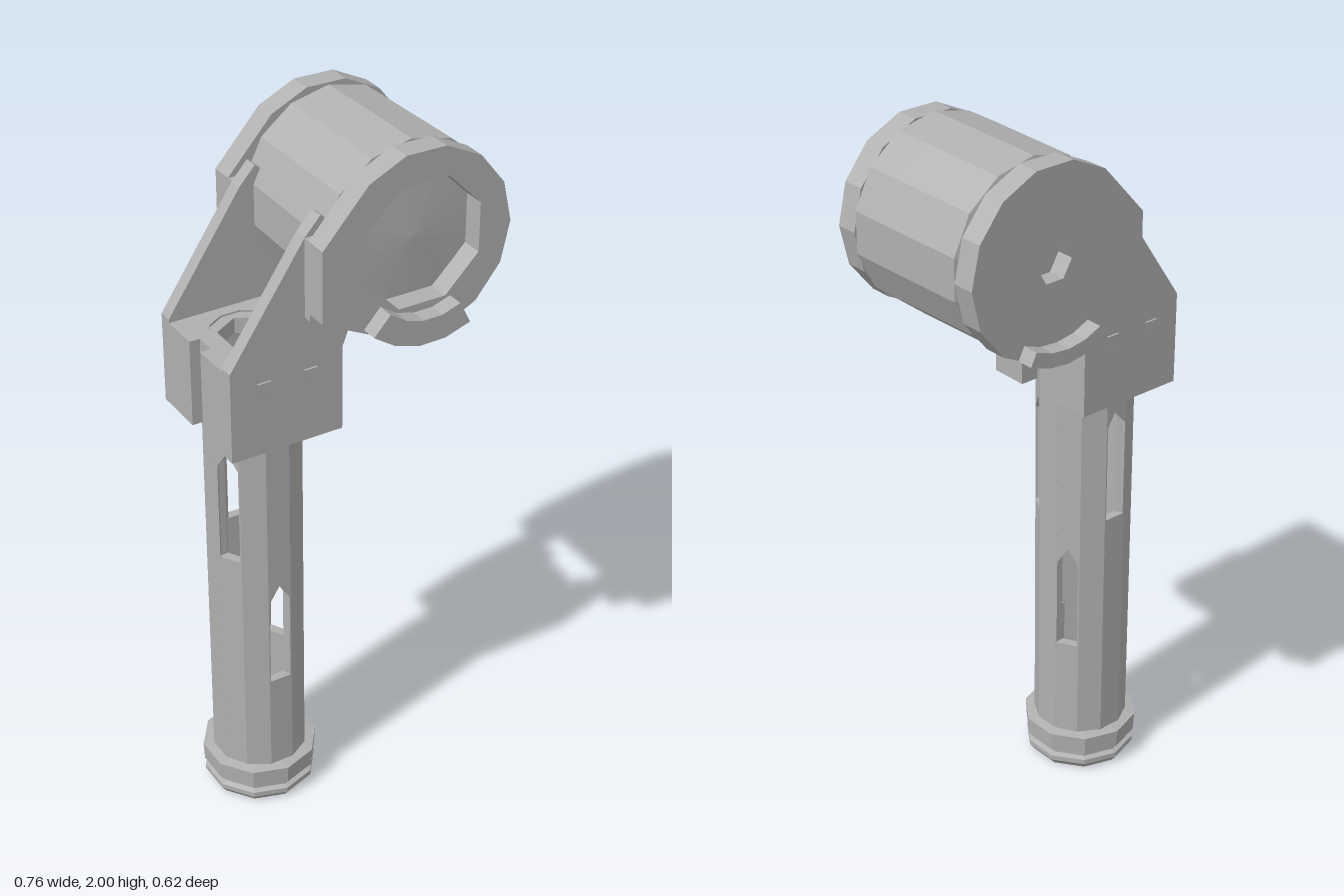
import * as THREE from 'three';

export function createModel() {
  const model = new THREE.Group();
  const grey = new THREE.MeshStandardMaterial({ color: 0xb0b0b0, flatShading: true });
  grey.name = 'plain grey';

  const add = (name, geometry, parent = model) => {
    const mesh = new THREE.Mesh(geometry, grey);
    mesh.name = name;
    parent.add(mesh);
    return mesh;
  };
  const pts = (list) => list.map(([x, y]) => new THREE.Vector2(x, y));
  // Points on an arc, angles in degrees
  const arc = (cx, cy, r, a0, a1, n) => Array.from({ length: n + 1 }, (_, i) => {
    const a = THREE.MathUtils.degToRad(a0 + (a1 - a0) * i / n);
    return [cx + r * Math.cos(a), cy + r * Math.sin(a)];
  });
  const slab = (outline, z0, z1, hole) => {
    const shape = new THREE.Shape(pts(outline));
    if (hole) shape.holes.push(new THREE.Path(pts(hole)));
    return new THREE.ExtrudeGeometry(shape, { depth: z1 - z0, bevelEnabled: false }).translate(0, 0, z0);
  };

  const TX = -0.22;            // handle axis
  const DX = 0.125, DY = 1.74; // drum axis
  const R = 0.26;

  // Hollow handle: twelve wall panels, every second one slotted alternately low and high
  const handle = new THREE.Group();
  handle.name = 'handle';
  handle.position.x = TX;
  model.add(handle);
  for (let i = 0; i < 12; i++) {
    const w = 0.0349;
    let slot = null;
    if (i % 2 === 0) {
      const [a, b] = i % 4 === 0 ? [0.42, 0.74] : [0.83, 1.17];
      slot = [[-0.031, a], [-0.031, b - 0.05], [0, b], [0.031, b - 0.05], [0.031, a]];
    }
    const panel = add('handlePanel', slab([[-w, 0.1], [w, 0.1], [w, 1.47], [-w, 1.47]], 0.105, 0.13, slot), handle);
    panel.rotation.y = i * Math.PI / 6;
  }

  // Rings turned around the handle axis
  const turned = (name, profile, sides) => add(name, new THREE.LatheGeometry(pts(profile), sides), handle);
  turned('handleTopRing', [[0.085, 1.42], [0.12, 1.42], [0.12, 1.465], [0.085, 1.465], [0.085, 1.42]], 6);
  turned('foot', [[0.035, 0], [0.145, 0], [0.16, 0.02], [0.16, 0.035], [0.145, 0.04], [0.145, 0.05],
    [0.162, 0.06], [0.165, 0.115], [0.135, 0.12], [0.035, 0.12], [0.035, 0]], 10);

  for (const s of [1, -1]) {
    const side = s > 0 ? 'front' : 'back';
    const span = (a, b) => (s > 0 ? [a, b] : [-b, -a]);

    // Clamp half wrapping the handle
    const half = [[-0.055, 0.07], [-0.055, 0.18], [-0.38, 0.18], [-0.38, 0.03],
      ...arc(TX, 0, 0.131, 166.7, 32.6, 6)].map(([x, z]) => [x, -z * s]);
    add(side + 'Clamp', slab(half, 1.22, 1.47).rotateX(-Math.PI / 2));

    // Sloping arm from the clamp to the drum
    add(side + 'Arm', slab([[-0.38, 1.465], [-0.055, 1.465], [-0.03, 1.53], [-0.05, 1.8],
      [-0.12, 1.85], [-0.165, 1.8], [-0.38, 1.48]], ...span(0.14, 0.18)));
    add(side + 'ArmStep', slab([[-0.165, 1.58], [-0.07, 1.58], [-0.07, 1.8], [-0.165, 1.8]], ...span(0.18, 0.205)));

    // Drum end plate: a disc drawn out to meet the arm
    const plate = [...arc(DX, DY, R, -128, 128, 10), [-0.165, 1.8], [-0.165, 1.6]];
    const hole = s > 0 ? arc(DX, DY + 0.005, 0.18, 22.5, 337.5, 7) : arc(DX, DY, 0.055, 0, 300, 5);
    add(side + 'EndPlate', slab(plate, ...span(0.2, 0.265), hole));

    // Raised lip along the bottom of the end plate
    const inner = s > 0 ? 0.185 : 0.215, start = s > 0 ? 228 : 239;
    add(side + 'Lip', slab([...arc(DX, DY, 0.255, start, 297, 4), ...arc(DX, DY, inner, 297, start, 4)],
      ...span(0.26, 0.312)));

    // Clamp screws
    for (const x of [-0.285, -0.15]) {
      const screw = add(side + 'Screw', new THREE.CylinderGeometry(0.022, 0.022, 0.012, 3));
      screw.rotation.x = Math.PI / 2;
      screw.position.set(x, 1.42, s * 0.18);
    }
  }

  // Drum body with a narrow neck before the back plate
  const drum = add('drumBody', new THREE.LatheGeometry(pts([[0, -0.215], [0.235, -0.215], [0.24, -0.19],
    [0.255, -0.185], [R, 0.1], [R, 0.2], [0, 0.215]]), 14));
  drum.rotation.x = Math.PI / 2;
  drum.position.set(DX, DY, 0);

  return model;
}
